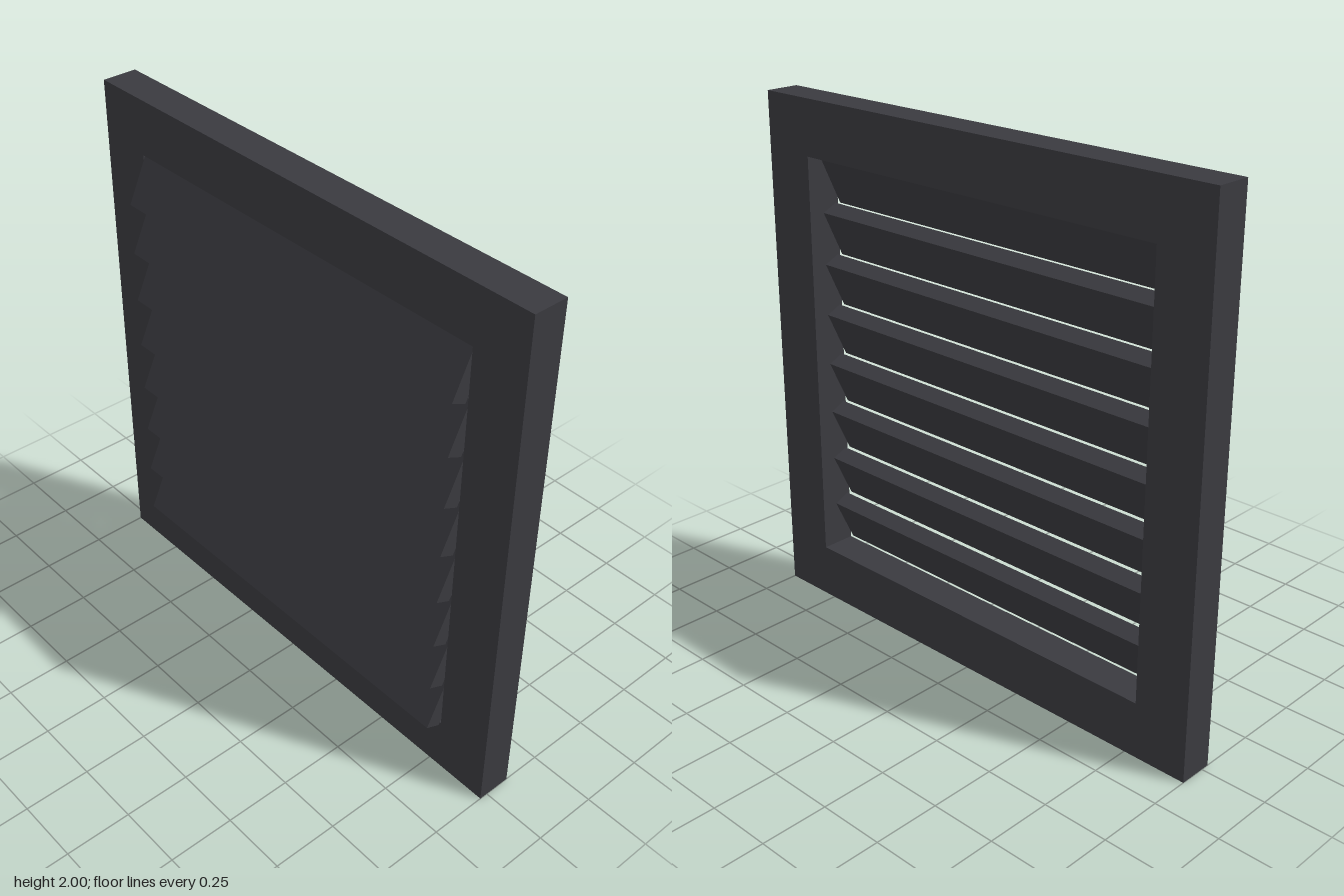
import * as THREE from 'three';

const charcoal = new THREE.MeshStandardMaterial({ name: 'charcoal', color: 0x3a3a3f });

// Square frame with a square opening, extruded through its thickness
function makeFrame(outer, inner, backX, thickness) {
  const square = (Type, h) => new Type([
    new THREE.Vector2(-h, -h), new THREE.Vector2(h, -h),
    new THREE.Vector2(h, h), new THREE.Vector2(-h, h),
  ]);
  const shape = square(THREE.Shape, outer);
  shape.holes.push(square(THREE.Path, inner));
  const geometry = new THREE.ExtrudeGeometry(shape, { depth: thickness, bevelEnabled: false });
  geometry.rotateY(Math.PI / 2).translate(backX, outer, 0);
  const frame = new THREE.Mesh(geometry, charcoal);
  frame.name = 'frame';
  return frame;
}

export function createModel() {
  const model = new THREE.Group();
  model.name = 'louverVent';

  const backX = -0.032;
  model.add(makeFrame(1, 0.79, backX, 0.133));

  // Tilted slats, sloping down and out through the back of the frame
  const slats = new THREE.Group();
  slats.name = 'slats';
  const slatGeometry = new THREE.BoxGeometry(0.065, 0.192, 1.58);
  for (let i = 0; i < 8; i++) {
    const slat = new THREE.Mesh(slatGeometry, charcoal);
    slat.name = `slat${i + 1}`;
    slat.position.set(backX, 0.31 + i * 0.1978, 0);
    slat.rotation.z = -THREE.MathUtils.degToRad(25);
    slats.add(slat);
  }
  model.add(slats);
  return model;
}
